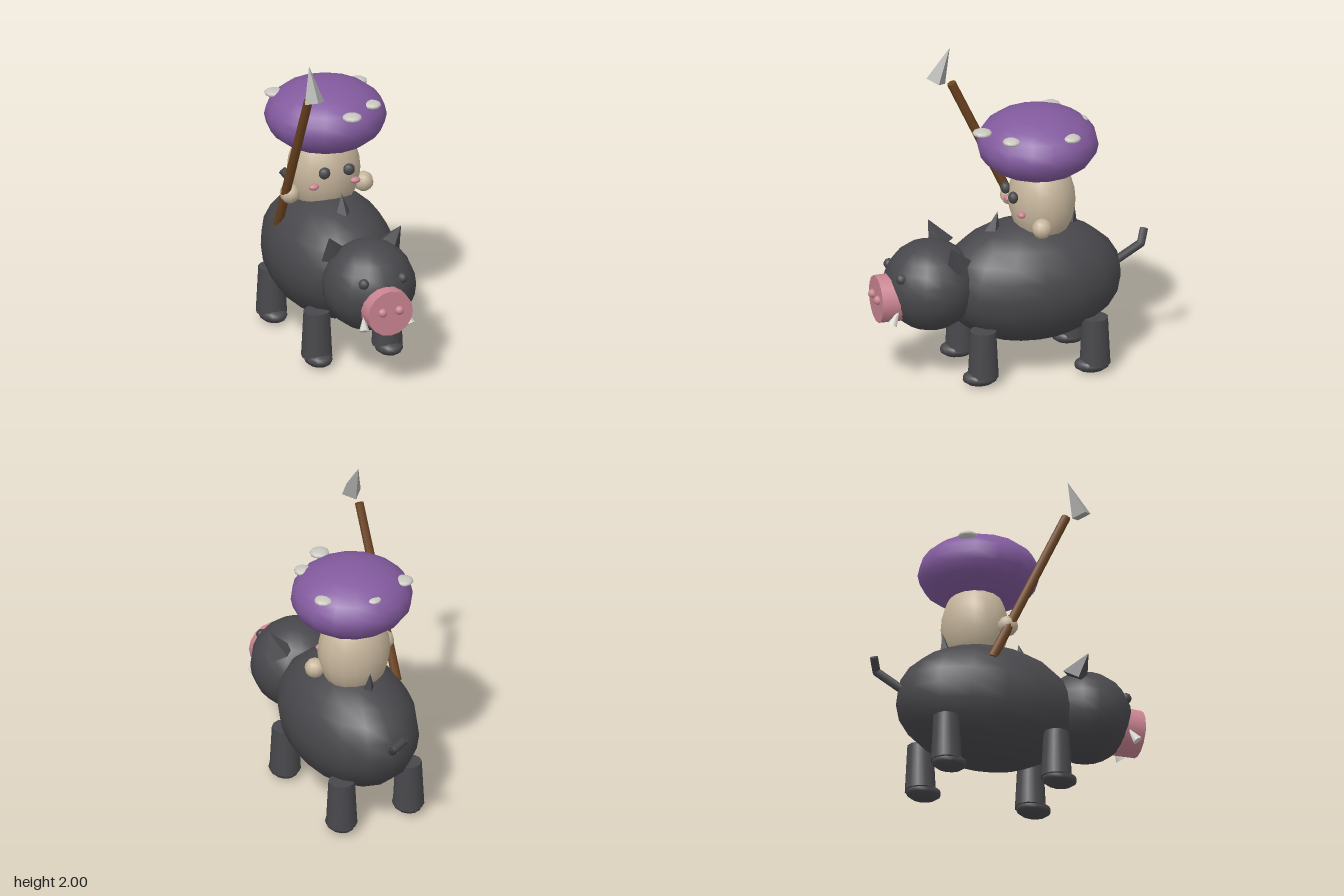
import * as THREE from 'three';

const mat = (name, color, flatShading = false) => {
  const m = new THREE.MeshStandardMaterial({ color, flatShading });
  m.name = name;
  return m;
};

export function createModel() {
  const root = new THREE.Group();
  root.name = 'mushroomRider';
  const hide = mat('charcoal hide', 0x48484c);
  const hideFlat = hide.clone();
  hideFlat.flatShading = true;
  const pink = mat('pink', 0xc98491);
  const cream = mat('cream', 0xc6b59c);
  const purple = mat('purple', 0x825a9e);
  const spotWhite = mat('pale spots', 0xc9c6c0);
  const ivory = mat('ivory', 0xd6d4ce);
  const wood = mat('wood', 0x6b4320);
  const steel = mat('steel', 0xa6a6a4, true);

  const add = (parent, name, geo, material) => {
    const m = new THREE.Mesh(geo, material);
    m.name = name;
    parent.add(m);
    return m;
  };
  const ellipsoid = (parent, name, pos, r, material, w = 16, h = 12) => {
    const m = add(parent, name, new THREE.SphereGeometry(1, w, h), material);
    m.position.set(...pos);
    m.scale.set(...r);
    return m;
  };
  // Tapered rod or cone running from point a to point b
  const rod = (parent, name, a, b, ra, rb, sides, material) => {
    const p = new THREE.Vector3(...a), q = new THREE.Vector3(...b);
    const d = q.clone().sub(p);
    const geo = rb === 0 ? new THREE.ConeGeometry(ra, d.length(), sides)
      : new THREE.CylinderGeometry(rb, ra, d.length(), sides);
    const m = add(parent, name, geo, material);
    m.position.copy(p).add(q).multiplyScalar(0.5);
    m.quaternion.setFromUnitVectors(new THREE.Vector3(0, 1, 0), d.normalize());
    return m;
  };

  // Boar
  const boar = new THREE.Group();
  boar.name = 'boar';
  root.add(boar);
  ellipsoid(boar, 'body', [0, 0.565, -0.13], [0.38, 0.385, 0.57], hide);
  ellipsoid(boar, 'head', [0, 0.6, 0.5], [0.285, 0.28, 0.285], hide);
  rod(boar, 'snout', [0, 0.545, 0.7], [0, 0.545, 0.84], 0.148, 0.145, 16, pink);
  for (const s of [1, -1]) {
    ellipsoid(boar, 'nostril', [s * 0.055, 0.56, 0.845], [0.028, 0.028, 0.028], pink, 8, 8);
    ellipsoid(boar, 'boarEye', [s * 0.125, 0.71, 0.72], [0.033, 0.033, 0.033], hide, 10, 8);
    rod(boar, 'tusk', [s * 0.15, 0.43, 0.785], [s * 0.13, 0.515, 0.73], 0.033, 0, 6, ivory);
    rod(boar, 'ear', [s * 0.175, 0.77, 0.375], [s * 0.235, 0.92, 0.44], 0.085, 0, 4, hideFlat);
    for (const z of [0.235, -0.47]) {
      rod(boar, 'leg', [s * 0.23, 0.06, z], [s * 0.23, 0.355, z], 0.095, 0.08, 12, hide);
      ellipsoid(boar, 'foot', [s * 0.23, 0.052, z + 0.02], [0.085, 0.05, 0.11], hide, 12, 8);
    }
  }
  // Spine bristles
  rod(boar, 'frontBristle', [0, 0.89, 0.105], [0, 1.02, 0.075], 0.05, 0, 4, hideFlat);
  rod(boar, 'rearBristle', [0, 0.87, -0.385], [0, 1.015, -0.41], 0.045, 0, 4, hideFlat);
  // Kinked tail
  const elbow = [0.05, 0.72, -0.815];
  rod(boar, 'tailBase', [-0.005, 0.6, -0.67], elbow, 0.026, 0.026, 8, hide);
  rod(boar, 'tailTip', elbow, [0, 0.79, -0.85], 0.026, 0.026, 8, hide);
  ellipsoid(boar, 'tailElbow', elbow, [0.026, 0.026, 0.026], hide, 8, 6);

  // Mushroom rider
  const rider = new THREE.Group();
  rider.name = 'rider';
  root.add(rider);
  ellipsoid(rider, 'stem', [0, 1.08, -0.205], [0.225, 0.29, 0.202], cream);
  ellipsoid(rider, 'cap', [0, 1.445, -0.178], [0.37, 0.215, 0.37], purple);
  const spots = [[0.025, 0.178, 0.06], [0.21, 0.05, 0.055], [0.265, -0.31, 0.058],
    [-0.265, -0.345, 0.06], [0, -0.44, 0.055]];
  for (const [x, z, r] of spots) {
    ellipsoid(rider, 'capSpot', [x, 1.56, z], [r, 0.023, r], spotWhite, 10, 8);
  }
  for (const s of [1, -1]) {
    ellipsoid(rider, 'riderEye', [s * 0.08, 1.135, 0], [0.037, 0.037, 0.03], hide, 10, 8);
    ellipsoid(rider, 'cheek', [s * 0.135, 1.04, -0.035], [0.033, 0.02, 0.025], pink, 10, 8);
  }
  ellipsoid(rider, 'leftHand', [0.23, 0.975, -0.135], [0.062, 0.062, 0.062], cream, 10, 8);
  ellipsoid(rider, 'rightHand', [-0.27, 1.0, -0.09], [0.062, 0.062, 0.062], cream, 10, 8);

  // Spear
  rod(root, 'spearShaft', [-0.3, 0.76, -0.2], [-0.3, 1.765, 0.272], 0.03, 0.028, 8, wood);
  rod(root, 'spearHead', [-0.3, 1.79, 0.37], [-0.3, 2.0, 0.282], 0.064, 0, 4, steel);
  return root;
}
